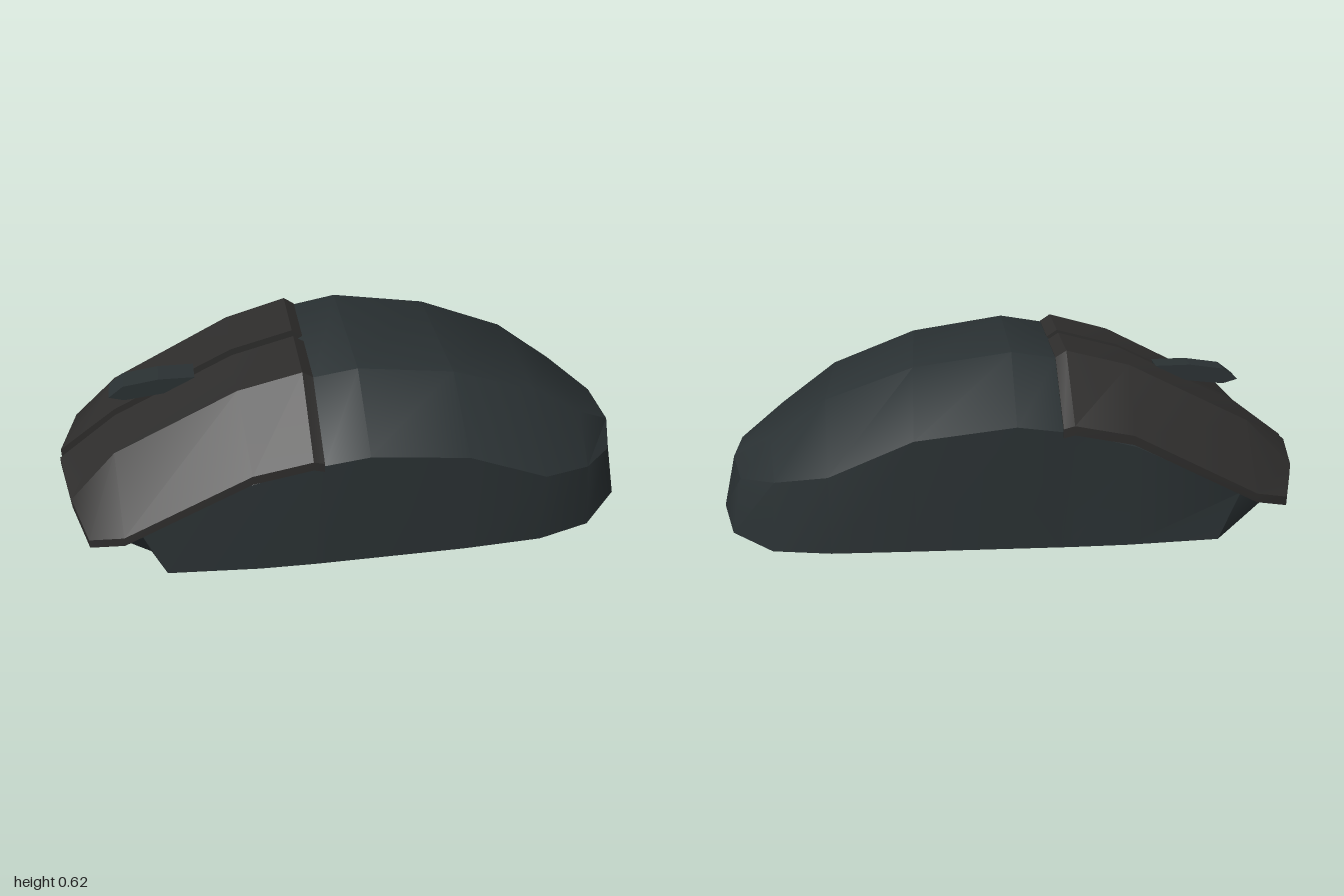
import * as THREE from 'three';
import { toCreasedNormals } from 'three/addons/utils/BufferGeometryUtils.js';

// Skin a row of point rings running towards +x; each end closes to a point.
function loft(rings, startTip, endTip, crease) {
  const pos = [];
  const tri = (a, b, c) => pos.push(...a, ...b, ...c);
  const mean = (ring) => [0, 1, 2].map((k) => ring.reduce((s, p) => s + p[k], 0) / ring.length);
  const n = rings[0].length;
  const first = rings[0];
  const last = rings[rings.length - 1];
  const s = startTip || mean(first);
  const e = endTip || mean(last);
  for (let j = 0; j < n; j++) {
    const k = (j + 1) % n;
    for (let i = 0; i < rings.length - 1; i++) {
      const a = rings[i][j], b = rings[i + 1][j], c = rings[i + 1][k], d = rings[i][k];
      tri(a, b, c);
      tri(a, c, d);
    }
    tri(s, first[j], first[k]);
    tri(e, last[k], last[j]);
  }
  const geo = new THREE.BufferGeometry();
  geo.setAttribute('position', new THREE.Float32BufferAttribute(pos, 3));
  return toCreasedNormals(geo, crease);
}

const flip = ([x, y, z]) => [x, y, -z];

export function createModel() {
  const group = new THREE.Group();
  const shellMat = new THREE.MeshStandardMaterial({ color: 0x2a3133 });
  const buttonMat = new THREE.MeshStandardMaterial({ color: 0x2e2d2c });
  const add = (name, geo, mat) => {
    const mesh = new THREE.Mesh(geo, mat);
    mesh.name = name;
    group.add(mesh);
    return mesh;
  };

  // Body: base edge, shoulder and top edge of each section, nose to tail
  const sections = [
    [[-0.71, 0.03, 0.36], [-0.84, 0.125, 0.37], [-0.9, 0.19, 0.2]],
    [[-0.66, 0.03, 0.48], [-0.73, 0.185, 0.465], [-0.8, 0.32, 0.22]],
    [[-0.36, 0.03, 0.505], [-0.38, 0.36, 0.495], [-0.39, 0.525, 0.24]],
    [[-0.18, 0.03, 0.51], [-0.18, 0.415, 0.505], [-0.18, 0.57, 0.25]],
    [[-0.145, 0.03, 0.51], [-0.145, 0.42, 0.51], [-0.145, 0.59, 0.255]],
    [[0, 0.03, 0.51], [0, 0.44, 0.514], [0, 0.613, 0.26]],
    [[0.32, 0.03, 0.51], [0.32, 0.4, 0.51], [0.32, 0.565, 0.25]],
    [[0.59, 0.022, 0.49], [0.59, 0.28, 0.49], [0.61, 0.455, 0.23]],
    [[0.785, 0, 0.41], [0.77, 0.23, 0.39], [0.8, 0.32, 0.19]],
    [[0.935, 0, 0.25], [0.9, 0.19, 0.24], [0.94, 0.22, 0.1]],
  ];
  const bodyRings = sections.map((half) => [...half, ...half.map(flip).reverse()]);
  add('body', loft(bodyRings, null, [1, 0, 0], 0.6), shellMat);

  // Click buttons: thin shells of outer edge, crown and inner edge
  const thickness = 0.03;
  const buttonSections = [
    [[-0.9, 0.145, 0.415], [-0.955, 0.2, 0.26], [-1, 0.21, 0.025]],
    [[-0.785, 0.18, 0.467], [-0.8, 0.355, 0.24], [-0.8, 0.36, 0.02]],
    [[-0.37, 0.4, 0.503], [-0.39, 0.56, 0.25], [-0.39, 0.56, 0.02]],
    [[-0.18, 0.44, 0.513], [-0.18, 0.615, 0.26], [-0.18, 0.615, 0.02]],
    [[-0.145, 0.43, 0.512], [-0.145, 0.592, 0.257], [-0.145, 0.592, 0.02]],
  ];
  const buttonRings = buttonSections.map((top) => [
    ...top,
    ...top.map(([x, y, z]) => [x, y - thickness, z]).reverse(),
  ]);
  add('leftButton', loft(buttonRings, null, null, 0.45), buttonMat);
  const mirrored = buttonRings.map((ring) => ring.map(flip).reverse());
  add('rightButton', loft(mirrored, null, null, 0.45), buttonMat);

  // Scroll wheel: slim faceted paddle rising between the buttons
  const profile = [
    [-0.81, 0.445], [-0.76, 0.43], [-0.62, 0.445], [-0.52, 0.465],
    [-0.52, 0.498], [-0.64, 0.5], [-0.76, 0.483],
  ].map(([x, y]) => new THREE.Vector2(x, y));
  const wheel = new THREE.ExtrudeGeometry(new THREE.Shape(profile), { depth: 0.09, bevelEnabled: false });
  add('scrollWheel', wheel, shellMat).position.z = -0.05;

  return group;
}
